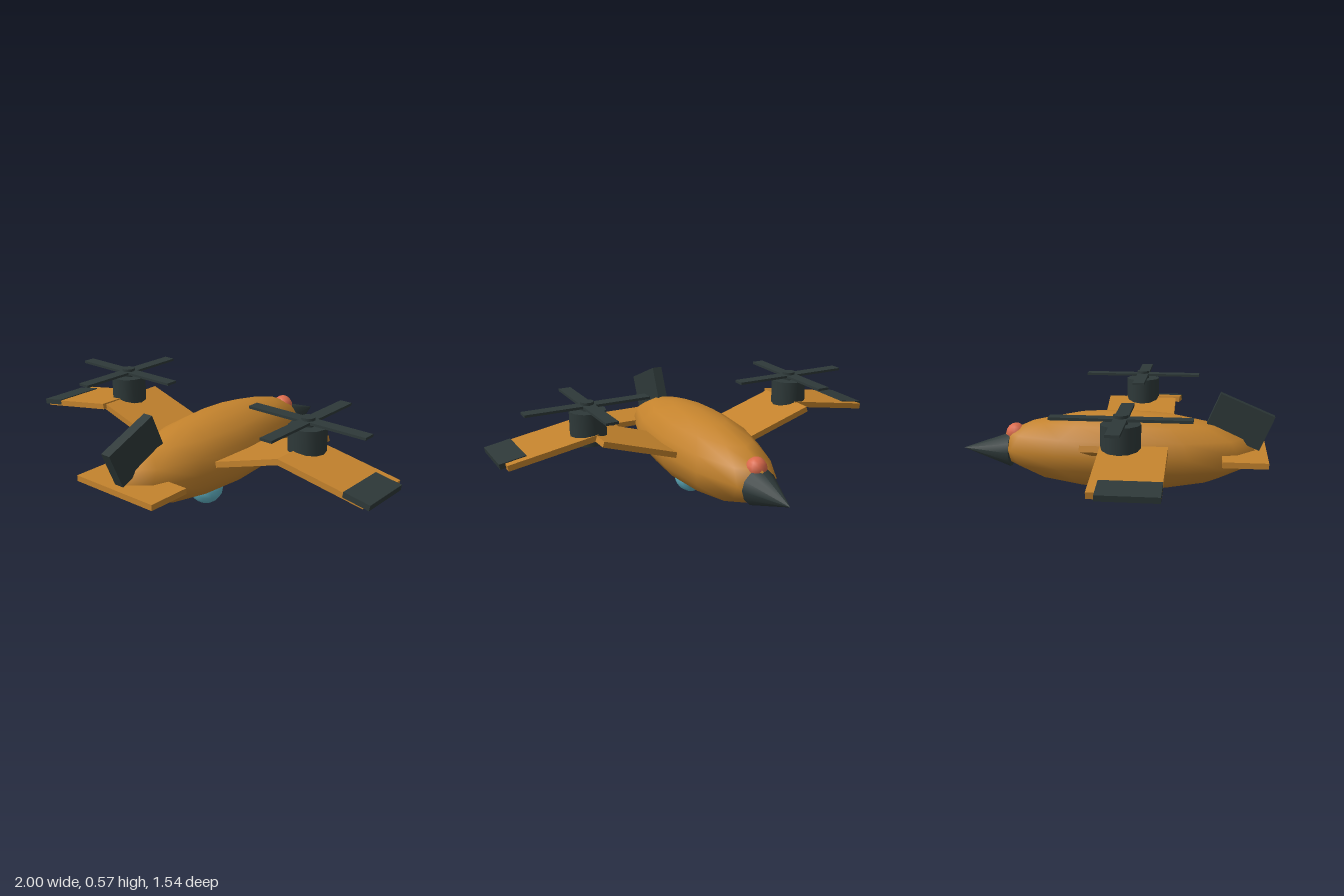
import * as THREE from 'three';

const mat = (name, color) => {
  const m = new THREE.MeshStandardMaterial({ color });
  m.name = name;
  return m;
};

export function createModel() {
  const ochre = mat('ochre hull', 0xc4832d);
  const dark = mat('dark slate', 0x2e3939);
  const blue = mat('blue glass', 0x62b4c6);
  const red = mat('red lamp', 0xdb6a4c);

  const model = new THREE.Group();
  model.name = 'rotorAircraft';

  const add = (name, geometry, material, x, y, z, parent = model) => {
    const mesh = new THREE.Mesh(geometry, material);
    mesh.name = name;
    mesh.position.set(x, y, z);
    parent.add(mesh);
    return mesh;
  };
  const box = (w, h, d) => new THREE.BoxGeometry(w, h, d);

  // Fuselage: stretched sphere with its poles at top and bottom
  add('fuselage', new THREE.SphereGeometry(1, 12, 8).scale(0.207, 0.193, 0.64), ochre, 0, 0.272, 0.05);

  // Nose cone, lamp and belly dome
  const nose = add('noseCone', new THREE.ConeGeometry(0.088, 0.245, 12), dark, 0, 0.255, -0.643);
  nose.rotation.x = -Math.PI / 2;
  add('noseLamp', new THREE.SphereGeometry(0.05, 10, 8), red, 0, 0.34, -0.495);
  add('bellyDome', new THREE.SphereGeometry(0.085, 12, 8), blue, 0, 0.085, 0.13);

  // Tail
  add('tailplane', box(0.465, 0.028, 0.213), ochre, 0, 0.271, 0.63);
  const fin = add('tailFin', box(0.05, 0.18, 0.282), dark, 0, 0.427, 0.605);
  fin.rotation.x = 0.4;

  // Wing panel between two points of the front outline
  const panel = (name, s, [x0, y0], [x1, y1], thick, depth, z, material) => {
    const length = Math.hypot(x1 - x0, y1 - y0);
    const mesh = add(name, box(length, thick, depth), material, s * (x0 + x1) / 2, (y0 + y1) / 2, z);
    mesh.rotation.z = s * Math.atan2(y1 - y0, x1 - x0);
  };

  for (const s of [1, -1]) {
    const side = s > 0 ? 'left' : 'right';

    // Cranked wing with a dark tip
    panel(side + 'InnerWing', s, [0.15, 0.286], [0.555, 0.415], 0.028, 0.36, 0.09, ochre);
    panel(side + 'OuterWing', s, [0.54, 0.418], [0.97, 0.345], 0.028, 0.29, 0.145, ochre);
    panel(side + 'WingTip', s, [0.872, 0.367], [0.998, 0.345], 0.026, 0.255, 0.163, dark);

    // Rotor unit: nacelle, hub and two crossed blades
    const rotor = new THREE.Group();
    rotor.name = side + 'Rotor';
    rotor.position.set(s * 0.558, 0, 0.09);
    model.add(rotor);
    add('nacelle', new THREE.CylinderGeometry(0.087, 0.087, 0.155, 12), dark, 0, 0.453, 0, rotor);
    add('hub', new THREE.CylinderGeometry(0.032, 0.032, 0.05, 10), dark, 0, 0.545, 0, rotor);
    add('bladeAcross', box(0.61, 0.012, 0.06), dark, 0, 0.551, 0, rotor);
    add('bladeAlong', box(0.06, 0.012, 0.61), dark, 0, 0.551, 0, rotor);
  }

  return model;
}
